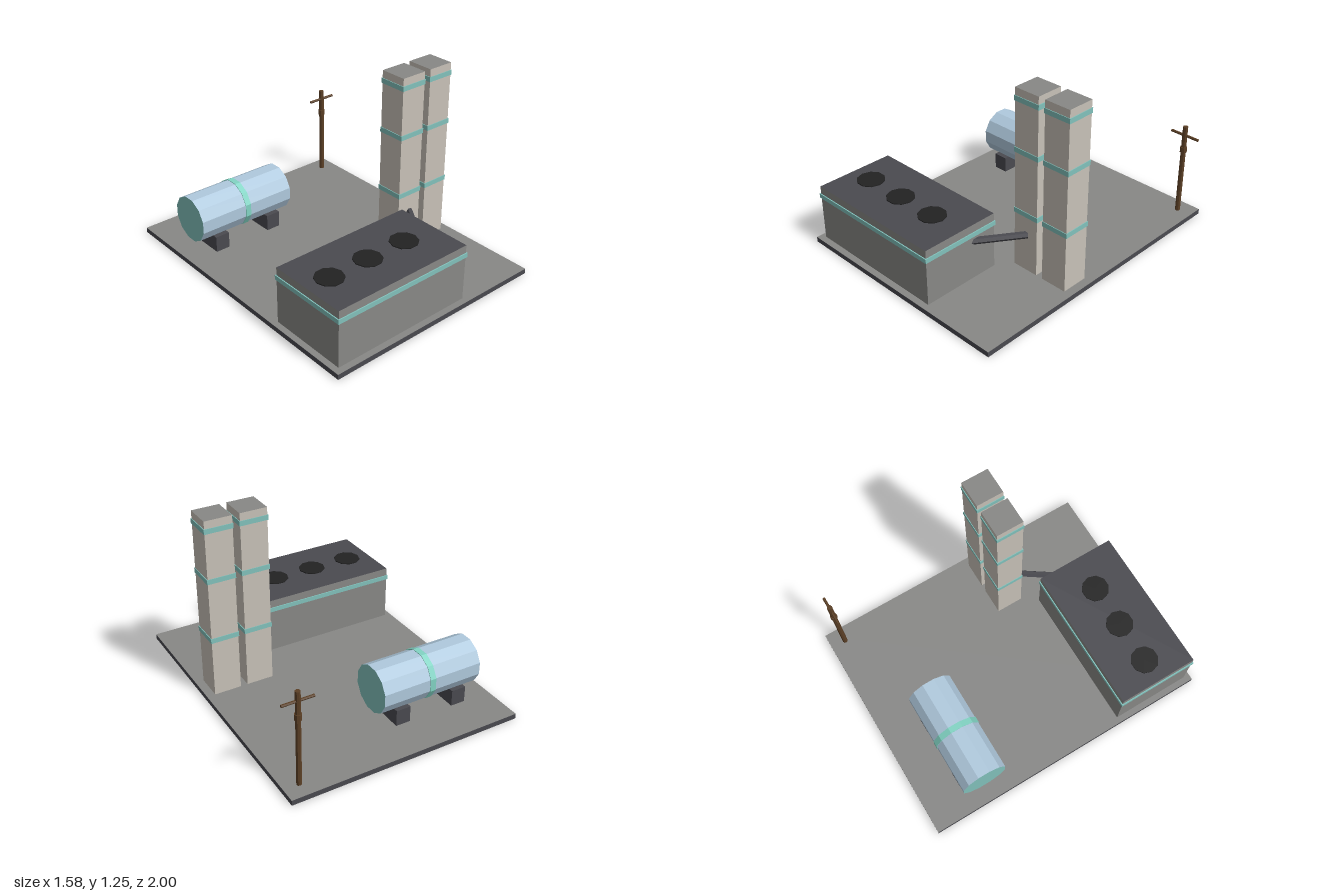
import * as THREE from 'three';

export function createModel() {
  const model = new THREE.Group();
  model.name = 'industrialSite';

  const mat = (name, color, extra = {}) => {
    const m = new THREE.MeshStandardMaterial({ color, flatShading: true, ...extra });
    m.name = name;
    return m;
  };
  const concrete = mat('concreteGrey', 0x888886, { side: THREE.DoubleSide });
  const dark = mat('darkGrey', 0x4a4a50);
  const stone = mat('paleStone', 0xc8c2b8);
  const teal = mat('teal', 0x82c2bc);
  const aqua = mat('aqua', 0x82d4c4);
  const steel = mat('paleBlueSteel', 0xb0cade);
  const black = mat('ventBlack', 0x222222);
  const wood = mat('brownWood', 0x5c4026);

  const add = (name, geometry, material, x = 0, y = 0, z = 0, parent = model) => {
    const mesh = new THREE.Mesh(geometry, material);
    mesh.name = name;
    mesh.position.set(x, y, z);
    parent.add(mesh);
    return mesh;
  };
  // Box given by its minimum and maximum corners
  const box = (name, [x0, y0, z0], [x1, y1, z1], material, parent) =>
    add(name, new THREE.BoxGeometry(x1 - x0, y1 - y0, z1 - z0), material,
      (x0 + x1) / 2, (y0 + y1) / 2, (z0 + z1) / 2, parent);
  // Box sides in one colour, top in another
  const topped = (side, top) => [side, side, top, side, side, side];
  const group = (name) => {
    const g = new THREE.Group();
    g.name = name;
    model.add(g);
    return g;
  };

  // Ground sheet with a curb around its edge, open underneath
  const G = 0.035, W = 0.79;
  add('ground', new THREE.PlaneGeometry(2 * W, 2).rotateX(-Math.PI / 2), concrete, 0, G, 0);
  const curb = group('curb');
  for (const s of [-1, 1]) {
    add('sideCurb', new THREE.BoxGeometry(0.012, 0.034, 2), dark, s * (W - 0.006), 0.017, 0, curb);
    add('endCurb', new THREE.BoxGeometry(2 * W - 0.024, 0.034, 0.012), dark, 0, 0.017, s * 0.994, curb);
  }

  // Long building with a dark roof, painted band and roof vents
  const building = group('building');
  box('buildingWalls', [-0.75, G, 0.413], [0.247, 0.418, 0.957], topped(concrete, dark), building);
  box('buildingBand', [-0.757, 0.335, 0.406], [0.254, 0.365, 0.964], teal, building);
  for (const x of [-0.585, -0.294, -0.002]) {
    add('roofVent', new THREE.CylinderGeometry(0.092, 0.092, 0.008, 10).rotateY(Math.PI / 2),
      black, x, 0.42, 0.685, building);
  }

  // Twin square towers with three bands each
  for (const x of [0.413, 0.643]) {
    const tower = group('tower');
    box('towerShaft', [x - 0.091, G, 0.126], [x + 0.091, 1.25, 0.309], topped(stone, concrete), tower);
    for (const y of [0.435, 0.85, 1.183]) {
      add('towerBand', new THREE.BoxGeometry(0.191, 0.033, 0.191), teal, x, y, 0.2175, tower);
    }
  }

  // Hexagonal duct from the building to the near tower
  const from = new THREE.Vector3(0.21, 0.294, 0.615), to = new THREE.Vector3(0.424, 0.294, 0.304);
  const duct = add('duct', new THREE.CylinderGeometry(0.023, 0.023, from.distanceTo(to), 6), dark);
  duct.position.copy(from).lerp(to, 0.5);
  duct.quaternion.setFromUnitVectors(new THREE.Vector3(0, 1, 0), to.clone().sub(from).normalize());

  // Horizontal twelve-sided tank on two blocks
  const tank = group('tank');
  const drum = (r, len) =>
    new THREE.CylinderGeometry(r, r, len, 12).rotateY(Math.PI / 12).rotateZ(Math.PI / 2);
  add('tankBody', drum(0.158, 0.705), [steel, teal, teal], -0.3375, 0.255, -0.586, tank);
  add('tankBand', drum(0.162, 0.04), aqua, -0.334, 0.255, -0.586, tank);
  for (const x of [-0.545, -0.13]) {
    box('tankBlock', [x - 0.05, G, -0.73], [x + 0.05, 0.145, -0.438], dark, tank);
  }

  // Utility pole with collar and crossbar
  const pole = group('utilityPole');
  add('poleShaft', new THREE.CylinderGeometry(0.017, 0.017, 0.65, 8), wood, 0.687, 0.345, -0.897, pole);
  add('poleCollar', new THREE.CylinderGeometry(0.023, 0.023, 0.038, 8), wood, 0.687, 0.502, -0.897, pole);
  add('poleCrossbar', new THREE.CylinderGeometry(0.009, 0.009, 0.206, 6).rotateZ(Math.PI / 2),
    wood, 0.687, 0.606, -0.897, pole);

  return model;
}
